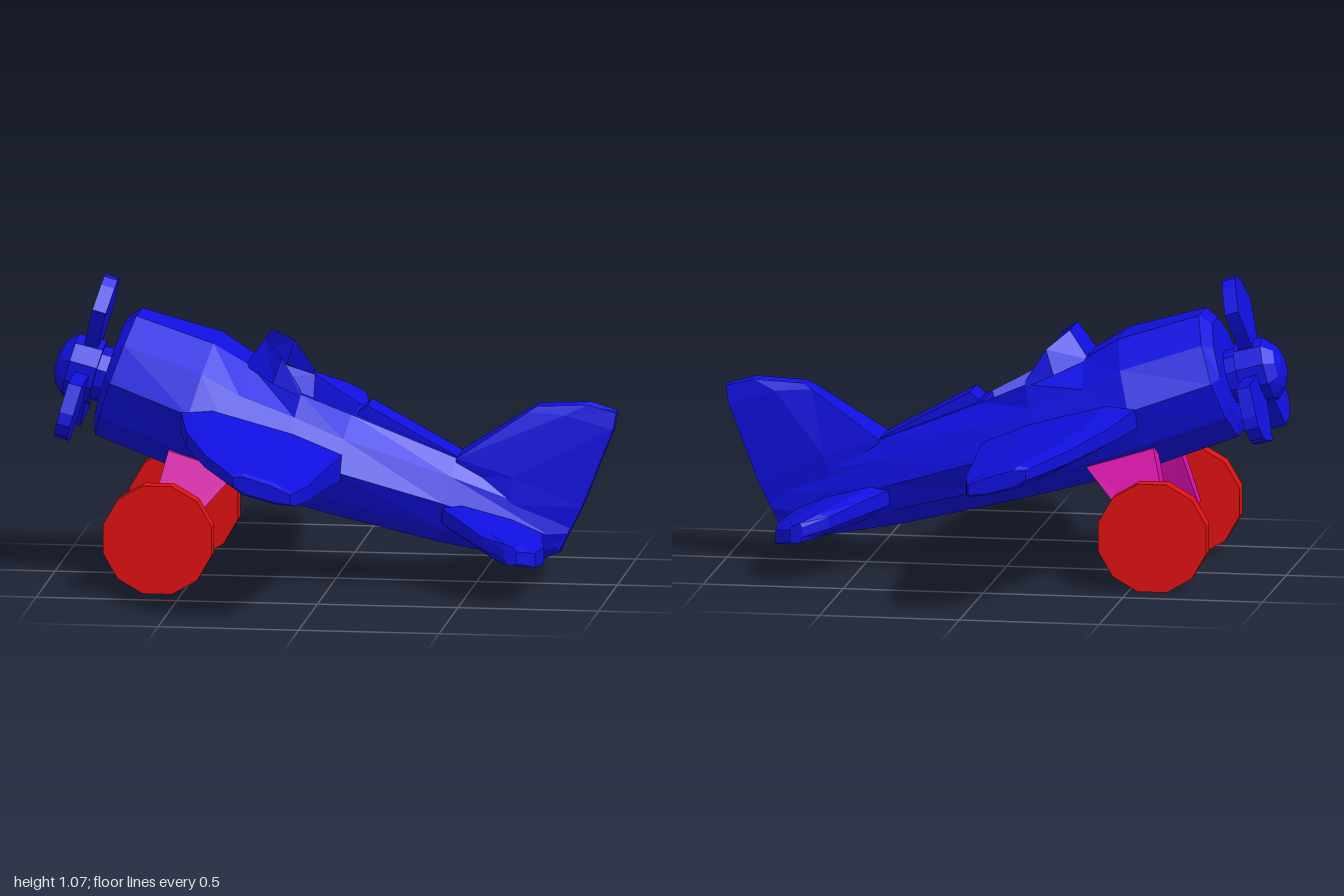
import * as THREE from 'three';

const flat = (color, name) => {
  const m = new THREE.MeshStandardMaterial({ color, flatShading: true, side: THREE.DoubleSide });
  m.name = name;
  return m;
};

// Skins a list of equal rings of [x, y, z], caps the ends and turns the faces outward.
function loft(rings, skip = () => false) {
  const tris = [];
  const n = rings[0].length;
  for (let i = 0; i < rings.length - 1; i++) {
    for (let j = 0; j < n; j++) {
      if (skip(i, j)) continue;
      const k = (j + 1) % n;
      const [a, b, c, d] = [rings[i][j], rings[i][k], rings[i + 1][k], rings[i + 1][j]];
      tris.push([a, b, c], [a, c, d]);
    }
  }
  const cap = (ring, flip) => {
    const mid = [0, 1, 2].map((q) => ring.reduce((s, p) => s + p[q], 0) / n);
    ring.forEach((p, j) => {
      const next = ring[(j + 1) % n];
      tris.push(flip ? [mid, next, p] : [mid, p, next]);
    });
  };
  cap(rings[0], true);
  cap(rings[rings.length - 1], false);
  const v = tris.map((t) => t.map((p) => new THREE.Vector3(...p)));
  const volume = v.reduce((s, [a, b, c]) => s + a.dot(b.clone().cross(c)), 0);
  const g = new THREE.BufferGeometry();
  g.setFromPoints(v.flatMap(([a, b, c]) => (volume < 0 ? [a, c, b] : [a, b, c])));
  g.computeVertexNormals();
  return g;
}

// A symmetric ring: the given half, then its mirror across z = 0.
const mirrorRing = (half) => [...half, ...half.slice().reverse().map(([x, y, z]) => [x, y, -z])];

// A flying surface; sections are [z, leading x, trailing x, half thickness].
function airfoil(sections, side, midY) {
  return loft(sections.map(([z, le, te, h]) => {
    const outline = [[0, 0.5], [0.2, 1], [0.7, 0.95], [1, 0.6], [1, -0.6], [0.7, -0.95], [0.2, -1], [0, -0.5]];
    return outline.map(([t, f]) => {
      const x = le + (te - le) * t;
      return [x, midY(x) + f * h, side * z];
    });
  }));
}

export function createModel() {
  const model = new THREE.Group();
  model.name = 'airplane';
  const blue = flat(0x1010e0, 'blue paint');
  const red = flat(0xe01010, 'red wheel');
  const pink = flat(0xe010b0, 'magenta strut');
  const add = (geometry, material, name, parent = model) => {
    const mesh = new THREE.Mesh(geometry, material);
    mesh.name = name;
    parent.add(mesh);
    return mesh;
  };

  // Fuselage stations: top x, y, bottom x, y, half width, deck half width
  const stations = [
    [-0.745, 0.915, -0.85, 0.575, 0.2, 0.06],
    [-0.7, 0.945, -0.845, 0.52, 0.25, 0.08],
    [-0.42, 0.86, -0.55, 0.41, 0.31, 0.12],
    [-0.29, 0.78, -0.4, 0.365, 0.305, 0.1],
    [-0.1, 0.7, -0.19, 0.305, 0.285, 0.19],
    [0.07, 0.615, -0.02, 0.26, 0.26, 0.11],
    [0.44, 0.465, 0.37, 0.16, 0.165, 0.09],
    [0.8, 0.3, 0.72, 0.09, 0.07, 0.05],
    [0.86, 0.27, 0.8, 0.125, 0.05, 0.04],
  ];
  const body = stations.map(([tx, ty, bx, by, w, deck]) => {
    const at = (v, z) => [bx + (tx - bx) * v, by + (ty - by) * v, z];
    return mirrorRing([at(1, deck), at(0.8, Math.max(0.78 * w, deck)), at(0.5, w), at(0.2, 0.8 * w), at(0, 0.4 * w)]);
  });
  // The deck is left open over the cockpit
  add(loft(body, (i, j) => j === 9 && (i === 3 || i === 4)), blue, 'fuselage');

  // Cockpit tub below the six-sided opening
  const rim = [[-0.29, 0.78, 0.1], [-0.1, 0.7, 0.19], [0.07, 0.615, 0.11]];
  const hex = mirrorRing(rim);
  const floor = hex.map(([x, y, z]) => [-0.11 + (x + 0.11) * 0.85, y - 0.08, z * 0.85]);
  const tub = [];
  hex.forEach((p, j) => {
    const k = (j + 1) % 6;
    tub.push(p, floor[j], floor[k], p, floor[k], hex[k], floor[j], [-0.11, 0.62, 0], floor[k]);
  });
  const tubGeo = new THREE.BufferGeometry().setFromPoints(tub.map((p) => new THREE.Vector3(...p)));
  tubGeo.computeVertexNormals();
  add(tubGeo, blue, 'cockpit');

  // Windshield wrapping the front of the cockpit
  const sill = mirrorRing([[-0.1, 0.69, 0.195], [-0.2, 0.735, 0.19], [-0.31, 0.78, 0.1]]);
  const brow = mirrorRing([[-0.1, 0.715, 0.19], [-0.17, 0.825, 0.175], [-0.24, 0.88, 0.085]]);
  const glass = [];
  for (let j = 0; j < 5; j++) {
    glass.push(sill[j], sill[j + 1], brow[j + 1], sill[j], brow[j + 1], brow[j]);
  }
  const glassGeo = new THREE.BufferGeometry().setFromPoints(glass.map((p) => new THREE.Vector3(...p)));
  glassGeo.computeVertexNormals();
  add(glassGeo, blue, 'windshield');

  // Headrest fairing
  const fairing = [[0.07, 0.55], [0.085, 0.615], [0.12, 0.642], [0.45, 0.462], [0.4, 0.4]];
  add(loft([-0.07, 0.07].map((z) => fairing.map(([x, y]) => [x, y, z]))), blue, 'headrest');

  // Tail fin, thick at the foot and thin at the tip
  add(loft([
    mirrorRing([[0.44, 0.4, 0.09], [0.62, 0.3, 0.09], [0.8, 0.13, 0.045]]),
    mirrorRing([[0.44, 0.465, 0.1], [0.64, 0.4, 0.085], [0.88, 0.29, 0.045]]),
    mirrorRing([[0.69, 0.63, 0.05], [0.82, 0.62, 0.05], [0.99, 0.57, 0.035]]),
    mirrorRing([[0.72, 0.648, 0.035], [0.9, 0.657, 0.035], [1.0, 0.63, 0.025]]),
  ]), blue, 'tailFin');

  // Left (+x) is the tail end, so the wings reach out along z
  for (const side of [1, -1]) {
    const end = side > 0 ? 'Front' : 'Back';
    add(airfoil([
      [0.15, -0.53, 0.055, 0.075], [0.31, -0.51, 0.045, 0.07], [0.55, -0.46, 0.025, 0.055],
      [0.8, -0.36, 0.01, 0.045], [0.97, -0.25, -0.02, 0.04], [0.99, -0.235, -0.03, 0.03],
    ], side, (x) => 0.463 - 0.288 * x), blue, 'wing' + end);
    add(airfoil([
      [0.04, 0.37, 0.74, 0.055], [0.17, 0.4, 0.755, 0.055], [0.27, 0.48, 0.775, 0.05],
      [0.39, 0.57, 0.76, 0.042], [0.445, 0.655, 0.7, 0.035],
    ], side, (x) => 0.39 - 0.3 * x), blue, 'stabilizer' + end);

    // Wheel and its tapered strut
    const wheel = add(new THREE.CylinderGeometry(0.2, 0.2, 0.065, 12), red, 'wheel' + end);
    wheel.geometry.rotateY(Math.PI / 12).rotateX(Math.PI / 2);
    wheel.position.set(-0.585, 0.2, side * 0.352);
    add(loft([
      [[-0.565, 0.495, 0.16], [-0.325, 0.42, 0.16], [-0.325, 0.42, 0.24], [-0.565, 0.495, 0.24]],
      [[-0.64, 0.2, 0.27], [-0.54, 0.18, 0.27], [-0.54, 0.18, 0.325], [-0.64, 0.2, 0.325]],
    ].map((ring) => ring.map(([x, y, z]) => [x, y, z * side]))), pink, 'strut' + end);
  }

  // Slightly arched axle
  add(loft([[-0.31, 0.19], [-0.16, 0.225], [0.16, 0.225], [0.31, 0.19]].map(([z, y]) => [
    [-0.63, y - 0.025, z], [-0.55, y - 0.025, z], [-0.55, y + 0.025, z], [-0.63, y + 0.025, z],
  ])), pink, 'axle');

  // Propeller: spinner and three paddle blades on the tilted axis
  const prop = new THREE.Group();
  prop.name = 'propeller';
  prop.position.set(-0.89, 0.735, 0);
  prop.rotation.z = -0.27;
  model.add(prop);
  const spinner = [[0.16, 0.1], [0.045, 0.1], [0.045, 0.12], [-0.055, 0.115], [-0.09, 0.08], [-0.105, 0.045]];
  add(loft(spinner.map(([x, r]) => Array.from({ length: 10 }, (_, i) => {
    const a = (i / 10) * Math.PI * 2;
    return [x, r * Math.cos(a), r * Math.sin(a)];
  }))), blue, 'spinner', prop);
  const paddle = [[0.05, 0.035], [0.17, 0.1], [0.24, 0.13], [0.32, 0.06], [0.345, 0.025]];
  for (let i = 0; i < 3; i++) {
    const blade = add(loft([-0.025, 0.025].map((x) => mirrorRing(paddle.map(([y, z]) => [x, y, z])))), blue, 'blade', prop);
    blade.rotation.x = (i * Math.PI * 2) / 3;
  }
  return model;
}
